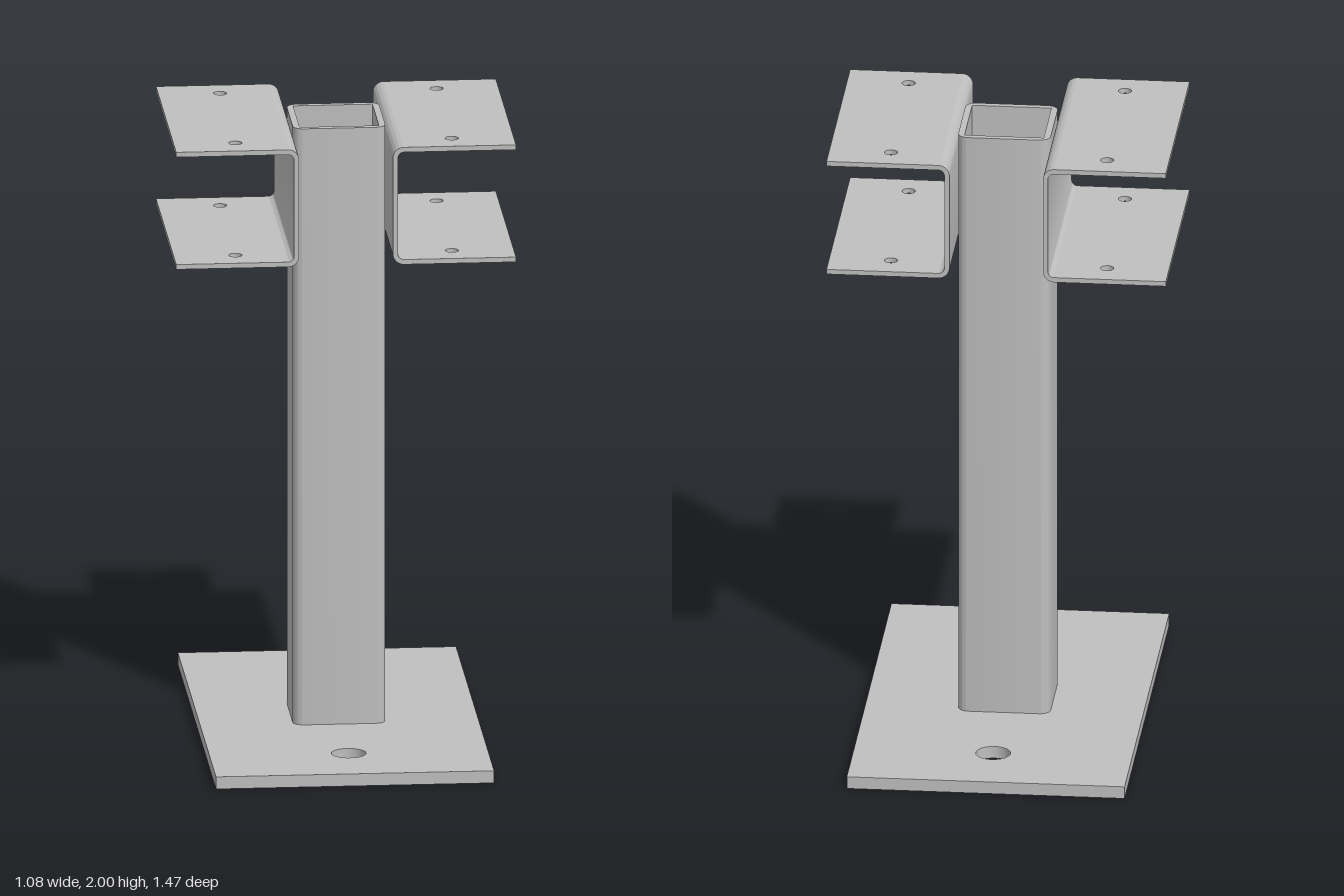
import * as THREE from 'three';
import { toCreasedNormals } from 'three/addons/utils/BufferGeometryUtils.js';

const steel = new THREE.MeshStandardMaterial({ color: 0xbfbfbf });
steel.name = 'steel';

function part(name, geometry) {
  const mesh = new THREE.Mesh(toCreasedNormals(geometry, 0.6), steel);
  mesh.name = name;
  return mesh;
}

const extrude = (shape, depth) =>
  new THREE.ExtrudeGeometry(shape, { depth, bevelEnabled: false, curveSegments: 16 });

// Horizontal slab from x0 to x1, with round holes given as [x, z, radius]
function slab(x0, x1, halfZ, y, thickness, holes) {
  const s = new THREE.Shape();
  s.moveTo(x0, -halfZ).lineTo(x1, -halfZ).lineTo(x1, halfZ).lineTo(x0, halfZ).closePath();
  for (const [x, z, r] of holes) s.holes.push(new THREE.Path().absarc(x, -z, r, 0, Math.PI * 2, true));
  return extrude(s, thickness).rotateX(-Math.PI / 2).translate(0, y, 0);
}

// Square tube standing on the base plate, rounded outside and sharp inside
function tube(half, wall, r, y0, y1) {
  const s = new THREE.Shape();
  const c = half - r, i = half - wall;
  s.absarc(c, c, r, 0, Math.PI / 2);
  s.absarc(-c, c, r, Math.PI / 2, Math.PI);
  s.absarc(-c, -c, r, Math.PI, Math.PI * 1.5);
  s.absarc(c, -c, r, Math.PI * 1.5, Math.PI * 2);
  s.closePath();
  s.holes.push(new THREE.Path().moveTo(-i, -i).lineTo(-i, i).lineTo(i, i).lineTo(i, -i).closePath());
  return extrude(s, y1 - y0).rotateX(-Math.PI / 2).translate(0, y0, 0);
}

// Bent channel open toward +x: a web with rounded bends and two drilled flanges
function channel(name) {
  const g = new THREE.Group();
  g.name = name;
  const x = 0.149, xEnd = 0.54, y0 = 1.615, y1 = 2, t = 0.016, r = 0.035, halfZ = 0.39;
  const cx = x + r, P = Math.PI;
  const s = new THREE.Shape();
  s.moveTo(cx, y0);
  s.absarc(cx, y0 + r, r, -P / 2, -P, true);
  s.absarc(cx, y1 - r, r, P, P / 2, true);
  s.lineTo(cx, y1 - t);
  s.absarc(cx, y1 - r, r - t, P / 2, P);
  s.absarc(cx, y0 + r, r - t, P, P * 1.5);
  s.closePath();
  g.add(part('channelWeb', extrude(s, halfZ * 2).translate(0, 0, -halfZ)));
  const holes = [[0.344, 0.294, 0.021], [0.344, -0.294, 0.021]];
  g.add(part('lowerFlange', slab(cx, xEnd, halfZ, y0, t, holes)));
  g.add(part('upperFlange', slab(cx, xEnd, halfZ, y1 - t, t, holes)));
  return g;
}

export function createModel() {
  const model = new THREE.Group();
  model.name = 'postBracket';
  model.add(part('basePlate', slab(-0.442, 0.442, 0.735, 0, 0.04, [[0, 0.49, 0.055], [0, -0.49, 0.055]])));
  model.add(part('post', tube(0.147, 0.021, 0.035, 0.04, 2)));
  const left = channel('leftChannel');
  const right = channel('rightChannel');
  right.rotation.y = Math.PI;
  model.add(left, right);
  return model;
}
